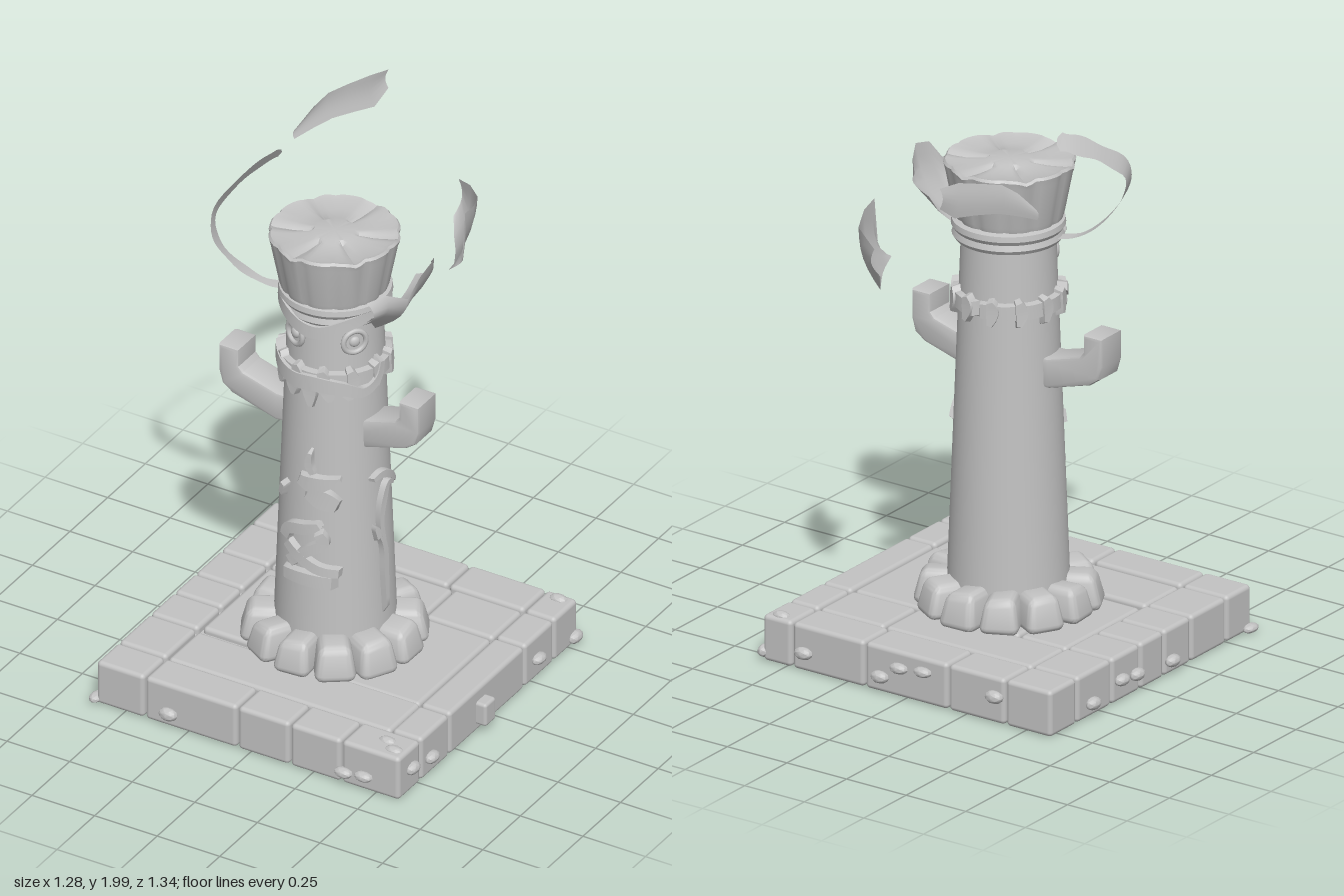
import * as THREE from 'three';
import { toCreasedNormals } from 'three/addons/utils/BufferGeometryUtils.js';
import { RoundedBoxGeometry } from 'three/addons/geometries/RoundedBoxGeometry.js';

const CX = -0.01, CZ = 0.048; // column axis
const columnR = (y) => 0.21 - 0.0375 * (y - 0.3);
const rad = THREE.MathUtils.degToRad;

// Point on the column surface: angle in degrees from the front toward +x
function onColumn(deg, y, lift = 0) {
  const a = rad(deg), r = columnR(y) + lift;
  return new THREE.Vector3(CX + Math.sin(a) * r, y, CZ + Math.cos(a) * r);
}

// Quad grid through equal-length rows of points
function loft(rows, closed = false) {
  const pos = [], idx = [], n = rows[0].length;
  rows.forEach((row) => row.forEach((p) => pos.push(p.x, p.y, p.z)));
  for (let i = 0; i < rows.length - 1; i++) {
    for (let j = 0; j < (closed ? n : n - 1); j++) {
      const k = (j + 1) % n;
      const a = i * n + j, b = i * n + k, c = (i + 1) * n + k, d = (i + 1) * n + j;
      idx.push(a, b, c, a, c, d);
    }
  }
  const geo = new THREE.BufferGeometry();
  geo.setAttribute('position', new THREE.Float32BufferAttribute(pos, 3));
  geo.setIndex(idx);
  geo.computeVertexNormals();
  return geo;
}

// Raised strip hugging the column; points are [degrees, y, half width]
function relief(points, lift = 0.025, steps = 5) {
  const curve = new THREE.CatmullRomCurve3(
    points.map(([d, y, w]) => new THREE.Vector3(rad(d) * 0.19, y, w)), false, 'centripetal');
  const n = (points.length - 1) * steps, rows = [];
  for (let i = 0; i <= n; i++) {
    const p = curve.getPoint(i / n), t = curve.getTangent(i / n);
    const len = Math.hypot(t.x, t.y) || 1, nx = -t.y / len, ny = t.x / len;
    const corner = (w, h) => onColumn(THREE.MathUtils.radToDeg((p.x + nx * w) / 0.19), p.y + ny * w, h);
    const end = i === 0 || i === n ? 0 : lift;
    rows.push([corner(p.z, -0.01), corner(p.z * 0.8, end), corner(-p.z * 0.8, end), corner(-p.z, -0.01)]);
  }
  return toCreasedNormals(loft(rows), rad(40));
}

export function createModel() {
  const model = new THREE.Group();
  const stone = new THREE.MeshStandardMaterial({ color: 0xc2c2c2, side: THREE.DoubleSide });
  stone.name = 'grey stone';
  const add = (name, geo, x = 0, y = 0, z = 0) => {
    const m = new THREE.Mesh(geo, stone);
    m.name = name;
    m.position.set(x, y, z);
    model.add(m);
    return m;
  };
  let seed = 7;
  const rnd = () => (seed = (seed * 16807) % 2147483647) / 2147483647;

  // Base: blocks given by their x and z limits
  const block = (name, x0, x1, z0, z1, y1 = 0.18) =>
    add(name, new RoundedBoxGeometry(x1 - x0 - 0.006, y1 - 0.01, z1 - z0 - 0.006, 3, 0.016),
      (x0 + x1) / 2, (y1 + 0.01) / 2, (z0 + z1) / 2);
  const row = (name, cuts, fn) => cuts.slice(1).forEach((c, i) => fn(name, cuts[i], c));
  row('backBlock', [-0.615, -0.42, -0.18, 0.17, 0.475, 0.6], (n, a, b) => block(n, a, b, -0.555, -0.395));
  row('frontBlock', [-0.615, -0.42, -0.05, 0.16, 0.365, 0.6], (n, a, b) => block(n, a, b, 0.49, 0.64));
  row('rightBlock', [-0.395, -0.19, -0.02, 0.12, 0.28, 0.49], (n, a, b) => block(n, -0.615, -0.42, a, b));
  row('leftBlock', [-0.395, -0.2, 0.3, 0.49], (n, a, b) => block(n, 0.475, 0.6, a, b));
  block('floorSlab', -0.42, 0.2, -0.395, -0.19, 0.176);
  block('floorSlab', 0.2, 0.475, -0.395, -0.19, 0.178);
  block('floorSlab', -0.42, -0.22, -0.19, 0.26, 0.174);
  block('floorSlab', -0.22, 0.17, -0.19, 0.3, 0.176);
  block('floorSlab', 0.17, 0.475, -0.19, 0.3, 0.177);
  block('floorSlab', -0.42, 0.475, 0.28, 0.49, 0.174);
  add('underside', new THREE.BoxGeometry(1.16, 0.13, 1.14), -0.008, 0.085, 0.042);

  // Chips sticking out of the base edges
  const chips = [
    [-0.62, 0.025, 0.62], [-0.32, 0.065, 0.645], [0.38, 0.06, 0.645], [0.46, 0.07, 0.645], [0.6, 0.1, 0.55],
    [0.605, 0.08, 0.43], [0.605, 0.09, -0.28], [0.6, 0.04, -0.53], [-0.62, 0.06, -0.31], [-0.62, 0.09, -0.14],
    [-0.62, 0.08, -0.05], [-0.62, 0.06, 0.16], [-0.38, 0.11, -0.56], [-0.08, 0.13, -0.56], [0.02, 0.12, -0.56],
    [0.1, 0.07, -0.56], [0.42, 0.08, -0.56], [0.55, 0.175, 0.59], [0.5, 0.17, 0.55], [0.54, 0.175, -0.52],
  ];
  chips.forEach(([x, y, z]) => {
    const g = toCreasedNormals(new THREE.IcosahedronGeometry(0.03, 1), rad(35));
    const m = add('chip', g, x, y, z);
    const side = Math.abs(x) > 0.59;
    m.scale.set(side ? 0.8 : 1.2, 0.55 + rnd() * 0.3, side ? 1.2 : 0.8);
  });
  add('sidePeg', new RoundedBoxGeometry(0.08, 0.09, 0.07, 2, 0.012), 0.597, 0.085, 0.09);

  // Ring of boulders around the foot
  for (let i = 0; i < 12; i++) {
    const a = (i * Math.PI) / 6, r = 0.245;
    const g = new RoundedBoxGeometry(0.14, 0.13, 0.16, 3, 0.03);
    const p = g.attributes.position, skew = (rnd() - 0.5) * 0.25;
    for (let k = 0; k < p.count; k++) {
      const t = (p.getY(k) + 0.065) / 0.13, s = 1.03 - 0.32 * t * t;
      p.setXYZ(k, p.getX(k) * s, p.getY(k) + p.getX(k) * skew * t, p.getZ(k) * s - 0.008 * t);
    }
    const m = add('boulder', toCreasedNormals(g, rad(32)),
      CX + Math.sin(a) * r, 0.232, CZ + Math.cos(a) * r);
    m.rotation.set(0, a + (rnd() - 0.5) * 0.2, 0);
    m.scale.setScalar(0.94 + rnd() * 0.1);
  }

  // Column shaft and collar
  const lathe = (pts, seg = 48) => toCreasedNormals(
    new THREE.LatheGeometry(pts.map(([r, y]) => new THREE.Vector2(r, y)), seg), rad(40));
  add('shaft', lathe([[columnR(0.15), 0.15], [columnR(0.8), 0.8], [columnR(1.62), 1.62]]), CX, 0, CZ);
  add('collar', lathe([[0.15, 1.525], [0.185, 1.53], [0.195, 1.545], [0.188, 1.565], [0.198, 1.58],
    [0.195, 1.6], [0.15, 1.615]]), CX, 0, CZ);

  // Flared capital with carved wedges
  const capital = new THREE.LatheGeometry([[0.14, 1.6], [0.186, 1.607], [0.192, 1.625], [0.222, 1.78],
    [0.229, 1.808], [0.222, 1.817], [0.205, 1.812], [0.14, 1.808], [0.085, 1.81], [0.07, 1.815], [0.001, 1.816],
  ].map(([r, y]) => new THREE.Vector2(r, y)), 72);
  const cp = capital.attributes.position;
  for (let k = 0; k < cp.count; k++) {
    const x = cp.getX(k), y = cp.getY(k), z = cp.getZ(k), r = Math.hypot(x, z);
    const side = Math.pow(Math.abs(Math.cos(Math.atan2(x, z) * 6)), 10);
    const top = Math.pow(Math.abs(Math.cos(Math.atan2(x, z) * 3 + 0.5)), 24);
    const s = r > 0.18 ? 1 - 0.035 * side : 1;
    cp.setXYZ(k, x * s, y - (y > 1.8 && r > 0.08 ? 0.012 * top : 0), z * s);
  }
  add('capital', toCreasedNormals(capital, rad(35)), CX, 0, CZ + 0.007);

  // Bent arms
  for (const s of [-1, 1]) {
    const shape = new THREE.Shape([[0.1, 1.04], [0.17, 1.03], [0.34, 1.08], [0.375, 1.105], [0.388, 1.15], [0.388, 1.24],
      [0.332, 1.24], [0.332, 1.18], [0.31, 1.155], [0.17, 1.115], [0.1, 1.115],
    ].map(([x, y]) => new THREE.Vector2(-0.03 + s * x, y)));
    const g = new THREE.ExtrudeGeometry(shape, {
      depth: 0.1, bevelThickness: 0.012, bevelSize: 0.012, bevelSegments: 2 });
    add(s < 0 ? 'rightArm' : 'leftArm', toCreasedNormals(g, rad(35)), 0, 0, 0.018);
  }

  // Eyes: socket ring with a small pupil
  for (const deg of [-24, 54]) {
    const eye = new THREE.Group();
    eye.name = 'eye';
    const ring = new THREE.Mesh(new THREE.TorusGeometry(0.042, 0.01, 8, 24), stone);
    const pupil = new THREE.Mesh(new THREE.SphereGeometry(0.02, 16, 10), stone);
    ring.name = 'eyeSocket';
    pupil.name = 'pupil';
    pupil.scale.z = 0.6;
    eye.add(ring, pupil);
    eye.position.copy(onColumn(deg, 1.455, 0.001));
    eye.rotation.y = rad(deg);
    model.add(eye);
  }

  // Brow and its ragged hem
  add('brow', relief([[-65, 1.575, 0.02], [-35, 1.55, 0.028], [-5, 1.515, 0.03], [15, 1.51, 0.03],
    [45, 1.545, 0.028], [80, 1.575, 0.02]], 0.035));

  // Beard band all round, wavy, with hanging tufts in front
  const wave = [];
  for (let d = -180; d <= 180; d += 15) wave.push([d, 1.315 + 0.014 * Math.sin(d * 0.21), 0.032]);
  add('beardBand', relief(wave, 0.022, 3));
  for (let d = -165; d < 180; d += 30) {
    add('bandTuft', relief([[d, 1.36, 0.012], [d + 4, 1.32, 0.026], [d, 1.255, 0.006]], 0.03));
  }
  add('moustache', relief([[-68, 1.36, 0.015], [-45, 1.32, 0.03], [-15, 1.3, 0.035], [10, 1.305, 0.035],
    [38, 1.29, 0.03], [60, 1.265, 0.022], [78, 1.3, 0.018], [85, 1.37, 0.012]], 0.034));
  [[-38, 1.24], [-17, 1.225], [4, 1.195], [24, 1.23], [44, 1.235]].forEach(([d, y]) =>
    add('beardTuft', relief([[d - 3, 1.31, 0.02], [d, 1.27, 0.03], [d + 2, y, 0.003]], 0.03)));

  // Carved relief on the front of the shaft
  [
    [[-32, 0.8, 0.012], [-27, 0.86, 0.014]],
    [[-9, 0.91, 0.02], [8, 0.895, 0.038], [26, 0.91, 0.022], [38, 0.925, 0.006]],
    [[0, 0.865, 0.02], [18, 0.84, 0.045], [36, 0.815, 0.025]],
    [[6, 1.03, 0.006], [4, 0.97, 0.016], [10, 0.93, 0.01]],
    [[-24, 0.64, 0.022], [-18, 0.69, 0.025], [4, 0.715, 0.025], [18, 0.74, 0.012]],
    [[14, 0.71, 0.02], [20, 0.67, 0.022], [4, 0.625, 0.022], [-20, 0.55, 0.025]],
    [[-22, 0.64, 0.02], [-6, 0.6, 0.022], [16, 0.56, 0.022], [38, 0.55, 0.02]],
    [[-26, 0.51, 0.025], [0, 0.515, 0.03], [34, 0.51, 0.03]],
  ].forEach((p) => add('frontCarving', relief(p, 0.024)));

  // Vine on the left side of the shaft
  [
    [[83, 0.34, 0.006], [83, 0.5, 0.012], [82, 0.62, 0.012], [72, 0.7, 0.008], [76, 0.64, 0.01]],
    [[82, 0.62, 0.01], [79, 0.72, 0.011], [84, 0.8, 0.016], [92, 0.85, 0.012], [104, 0.83, 0.008]],
    [[68, 0.89, 0.008], [82, 0.9, 0.016], [98, 0.87, 0.016], [110, 0.82, 0.006]],
  ].forEach((p) => add('vine', relief(p, 0.022)));

  // Floating bowl shards: columns of [bottom xyz, top xyz], bulging outward by an offset
  const shard = (name, cols, bx, bz) => add(name, loft(cols.map(([x0, y0, z0, x1, y1, z1]) => {
    const out = [];
    for (let k = 0; k <= 6; k++) {
      const t = k / 6, b = Math.sin(t * Math.PI);
      out.push(new THREE.Vector3(x0 + (x1 - x0) * t + bx * b, y0 + (y1 - y0) * t, z0 + (z1 - z0) * t + bz * b));
    }
    return out;
  })));
  shard('sideShard', [
    [0.23, 1.62, 0.265, 0.25, 1.72, 0.27], [0.23, 1.6, 0.21, 0.29, 1.73, 0.21],
    [0.21, 1.54, 0.15, 0.34, 1.7, 0.15], [0.2, 1.535, 0.08, 0.36, 1.77, 0.1],
    [0.2, 1.54, 0.01, 0.36, 1.79, 0.02], [0.22, 1.59, -0.04, 0.33, 1.76, -0.04], [0.24, 1.65, -0.07, 0.3, 1.72, -0.07],
  ], 0.035, 0);
  shard('backShard', [
    [0.22, 1.52, -0.32, 0.26, 1.575, -0.345], [0.21, 1.5, -0.37, 0.26, 1.74, -0.365],
    [0.18, 1.5, -0.43, 0.25, 1.725, -0.44], [0.14, 1.475, -0.5, 0.21, 1.7, -0.53],
    [0.11, 1.5, -0.54, 0.15, 1.7, -0.58], [0.09, 1.56, -0.57, 0.08, 1.68, -0.62],
  ], 0.015, -0.015);
  shard('highShard', [
    [-0.42, 1.82, -0.36, -0.41, 1.87, -0.37], [-0.38, 1.845, -0.42, -0.38, 1.93, -0.42],
    [-0.34, 1.865, -0.48, -0.35, 1.97, -0.47], [-0.29, 1.87, -0.55, -0.31, 1.985, -0.53],
    [-0.25, 1.87, -0.61, -0.26, 2.0, -0.6], [-0.23, 1.92, -0.67, -0.23, 1.995, -0.67],
  ], -0.01, 0.005);

  // Curling ribbon rising from the collar; each section is centre plus half-width vector
  const centre = new THREE.CatmullRomCurve3([[-0.18, 1.55, 0.09], [-0.26, 1.565, 0.12], [-0.34, 1.63, 0.16],
    [-0.395, 1.73, 0.2], [-0.415, 1.82, 0.18], [-0.38, 1.9, 0.09], [-0.33, 1.955, 0.0], [-0.29, 1.98, -0.06],
  ].map((p) => new THREE.Vector3(...p)));
  const ribbon = [];
  for (let i = 0; i <= 32; i++) {
    const t = i / 32, c = centre.getPoint(t), w = 0.022 + 0.014 * t + 0.004 * Math.sin(i);
    const half = new THREE.Vector3(0.3 * t, 0.9 * t, 1 - 0.4 * t).normalize().multiplyScalar(i === 32 ? 0.012 : w);
    ribbon.push([c.clone().sub(half), c.clone().add(half)]);
  }
  add('ribbonShard', loft(ribbon));

  return model;
}
